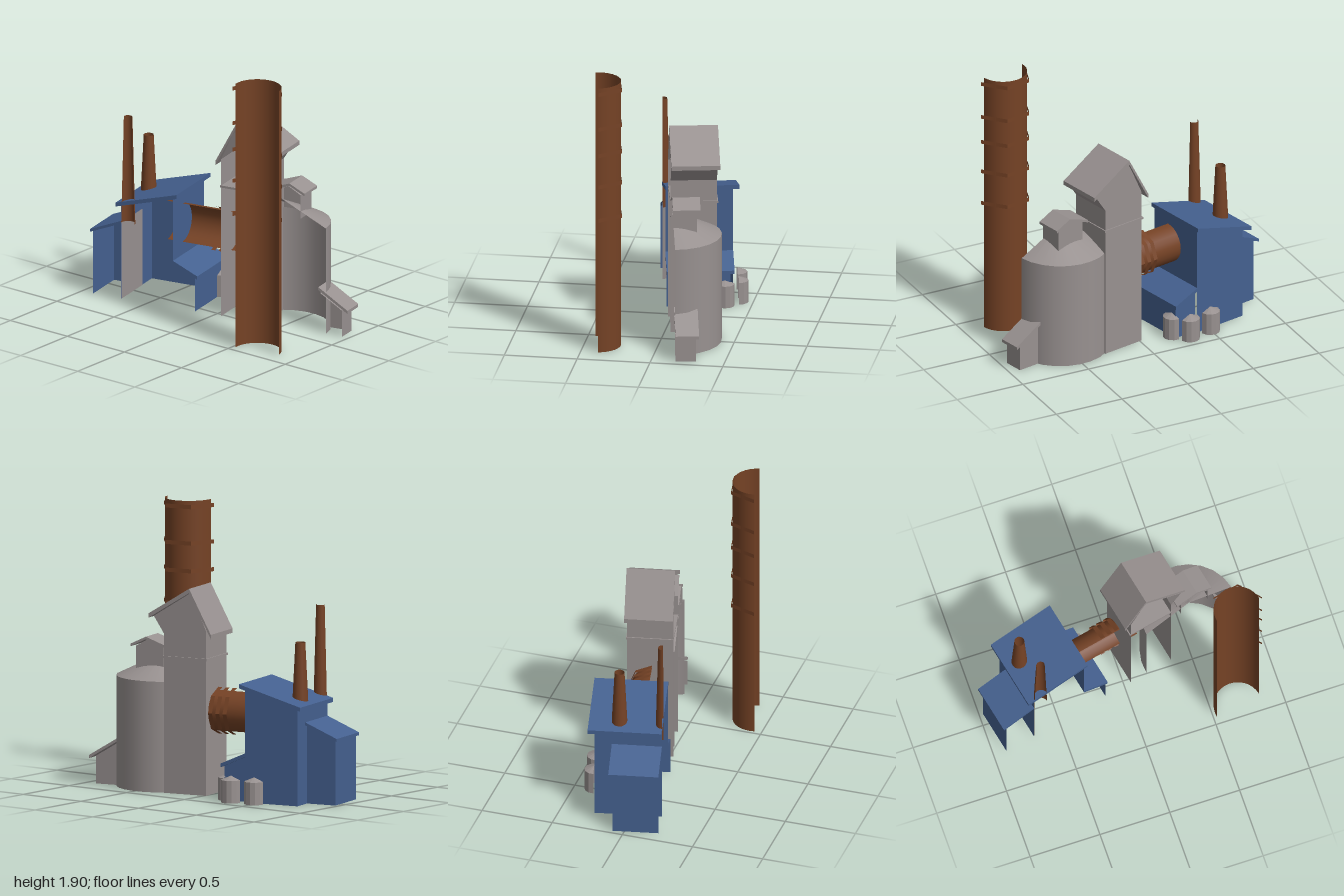
import * as THREE from 'three';

const TILT = 0.21;    // the whole row of buildings is turned about y
const CUT = 0.035;    // open front plane

const mat = (name, color) => {
  const m = new THREE.MeshStandardMaterial({ color, side: THREE.DoubleSide });
  m.name = name;
  return m;
};

export function createModel() {
  const root = new THREE.Group();
  root.name = 'factory';
  const works = new THREE.Group();
  works.name = 'works';
  works.rotation.y = TILT;
  root.add(works);

  const blue = mat('blue cladding', 0x456190);
  const grey = mat('grey concrete', 0x989190);
  const rust = mat('rust metal', 0x754225);

  const add = (parent, name, geo, material, x = 0, y = 0, z = 0) => {
    const mesh = new THREE.Mesh(geo, material);
    mesh.name = name;
    mesh.position.set(x, y, z);
    parent.add(mesh);
    return mesh;
  };
  const part = (name) => {
    const g = new THREE.Group();
    g.name = name;
    works.add(g);
    return g;
  };

  // Open-fronted walls: strips along a profile (x, y), closed at the back.
  // "extra" points only complete the outline of the back wall.
  const walls = (parent, name, profile, back, material, extra = []) => {
    const pos = [];
    for (let i = 0; i < profile.length - 1; i++) {
      const [ax, ay] = profile[i], [bx, by] = profile[i + 1];
      pos.push(ax, ay, back, ax, ay, CUT, bx, by, CUT);
      pos.push(ax, ay, back, bx, by, CUT, bx, by, back);
    }
    const geo = new THREE.BufferGeometry();
    geo.setAttribute('position', new THREE.Float32BufferAttribute(pos, 3));
    geo.computeVertexNormals();
    add(parent, name + 'Sides', geo, material);
    const outline = [...profile, ...extra].map(([x, y]) => new THREE.Vector2(x, y));
    const backGeo = new THREE.ShapeGeometry(new THREE.Shape(outline));
    backGeo.rotateY(Math.PI);      // face the rear
    backGeo.scale(-1, 1, 1);
    add(parent, name + 'Back', new THREE.ShapeGeometry(new THREE.Shape(outline)), material, 0, 0, back);
    backGeo.dispose();
  };

  // Roof slab following a top line
  const roof = (parent, name, line, thick, back, material) => {
    const low = line.map(([x, y]) => [x, y - thick]).reverse();
    const shape = new THREE.Shape([...line, ...low].map(([x, y]) => new THREE.Vector2(x, y)));
    const geo = new THREE.ExtrudeGeometry(shape, { depth: CUT - back, bevelEnabled: false });
    add(parent, name, geo, material, 0, 0, back);
  };

  // Open tube standing on y0; by default only its rear half
  const tube = (parent, name, rTop, rBottom, y0, y1, x, z, sides, material,
    start = Math.PI / 2, arc = Math.PI) => {
    let geo = new THREE.CylinderGeometry(rTop, rBottom, y1 - y0, sides, 1, true, start, arc);
    if (sides < 8) {
      geo = geo.toNonIndexed();
      geo.computeVertexNormals();
    }
    return add(parent, name, geo, material, x, (y0 + y1) / 2, z);
  };

  // Blue building: main hall with a lower annex on each side
  const hall = part('blueBuilding');
  walls(hall, 'hallWall', [[-0.72, 0], [-0.72, 0.67], [-0.324, 0.785], [-0.324, 0.32]],
    -0.425, blue, [[-0.324, 0]]);
  roof(hall, 'hallRoof', [[-0.762, 0.685], [-0.297, 0.815]], 0.028, -0.468, blue);
  walls(hall, 'leftAnnexWall', [[-0.935, 0], [-0.935, 0.45], [-0.72, 0.545]],
    -0.28, blue, [[-0.72, 0]]);
  roof(hall, 'leftAnnexRoof', [[-0.958, 0.462], [-0.72, 0.56]], 0.02, -0.307, blue);
  walls(hall, 'rightAnnexWall', [[-0.324, 0.32], [-0.155, 0.24], [-0.155, 0]],
    -0.4, blue, [[-0.324, 0]]);
  roof(hall, 'rightAnnexRoof', [[-0.324, 0.337], [-0.138, 0.255]], 0.025, -0.426, blue);
  const partition = new THREE.PlaneGeometry(CUT + 0.28, 0.55);
  partition.rotateY(Math.PI / 2);
  add(hall, 'partition', partition, grey, -0.716, 0.275, (CUT - 0.28) / 2);

  // Small tapered chimneys on the blue building
  tube(hall, 'shortChimney', 0.034, 0.055, 0.68, 1.1, -0.66, -0.26, 16, rust, 0, Math.PI * 2);
  tube(hall, 'tallChimney', 0.031, 0.051, 0.55, 1.32, -0.667, CUT, 10, rust);

  // Small storage tanks behind the building: x, z, start angle
  [[-0.409, -0.458, Math.PI / 2], [-0.233, -0.458, Math.PI / 2], [-0.163, -0.36, 0]]
    .forEach(([x, z, start], i) => {
      const g = part('tank' + (i + 1));
      tube(g, 'tankWall', 0.068, 0.068, 0, 0.155, x, z, 6, grey, start);
      tube(g, 'tankTop', 0.0, 0.068, 0.155, 0.183, x, z, 6, grey, start);
    });

  // Horizontal half pipe joining the buildings, with raised bands
  const duct = part('pipe');
  const lay = (name, r, x0, x1, sides) => {
    const m = tube(duct, name, r, r, 0, x1 - x0, (x0 + x1) / 2, -0.11, sides, rust);
    m.position.y = 0.567;
    m.rotation.z = Math.PI / 2;
  };
  lay('pipeBody', 0.138, -0.44, 0.18, 12);
  [-0.105, -0.05, 0.005].forEach((x) => lay('pipeBand', 0.16, x, x + 0.03, 4));

  // Grey tower with a flared right side
  const tower = part('greyTower');
  walls(tower, 'towerWall', [[0.044, 0], [0.044, 1.13], [0.16, 1.385], [0.44, 1.21],
    [0.361, 1.09], [0.361, 0]], -0.28, grey);
  roof(tower, 'towerRoof', [[0, 1.11], [0.165, 1.415], [0.47, 1.228]], 0.03, -0.297, grey);
  add(tower, 'towerLedge', new THREE.BoxGeometry(0.333, 0.015, 0.323), grey, 0.2025, 0.933, -0.1265);

  // Half-round silo with a shallow cone roof
  const silo = part('silo');
  tube(silo, 'siloWall', 0.335, 0.335, 0, 0.76, 0.505, 0.03, 12, grey);
  tube(silo, 'siloRoof', 0, 0.335, 0.76, 0.92, 0.505, 0.03, 12, grey);

  // Gabled turret on the silo roof
  walls(silo, 'turretWall', [[0.44, 0.8], [0.44, 0.97], [0.56, 1.02], [0.65, 0.97], [0.65, 0.8]],
    -0.13, grey);
  roof(silo, 'turretRoof', [[0.41, 0.985], [0.565, 1.04], [0.68, 0.985]], 0.018, -0.152, grey);

  // Lean-to at the right end
  const shed = part('leanTo');
  walls(shed, 'leanToWall', [[0.8, 0.29], [0.965, 0.19], [0.965, 0]], -0.105, grey, [[0.8, 0]]);
  roof(shed, 'leanToRoof', [[0.785, 0.33], [1.008, 0.195]], 0.022, -0.125, grey);

  // Tall half-round smokestack with angular bands
  const stack = part('smokestack');
  tube(stack, 'stackShell', 0.165, 0.165, 0, 1.9, 0.584, 0.548, 16, rust);
  [0.955, 1.195, 1.42, 1.61, 1.86].forEach((y) =>
    tube(stack, 'stackBand', 0.19, 0.19, y - 0.014, y + 0.014, 0.584, 0.548, 3, rust));

  return root;
}
